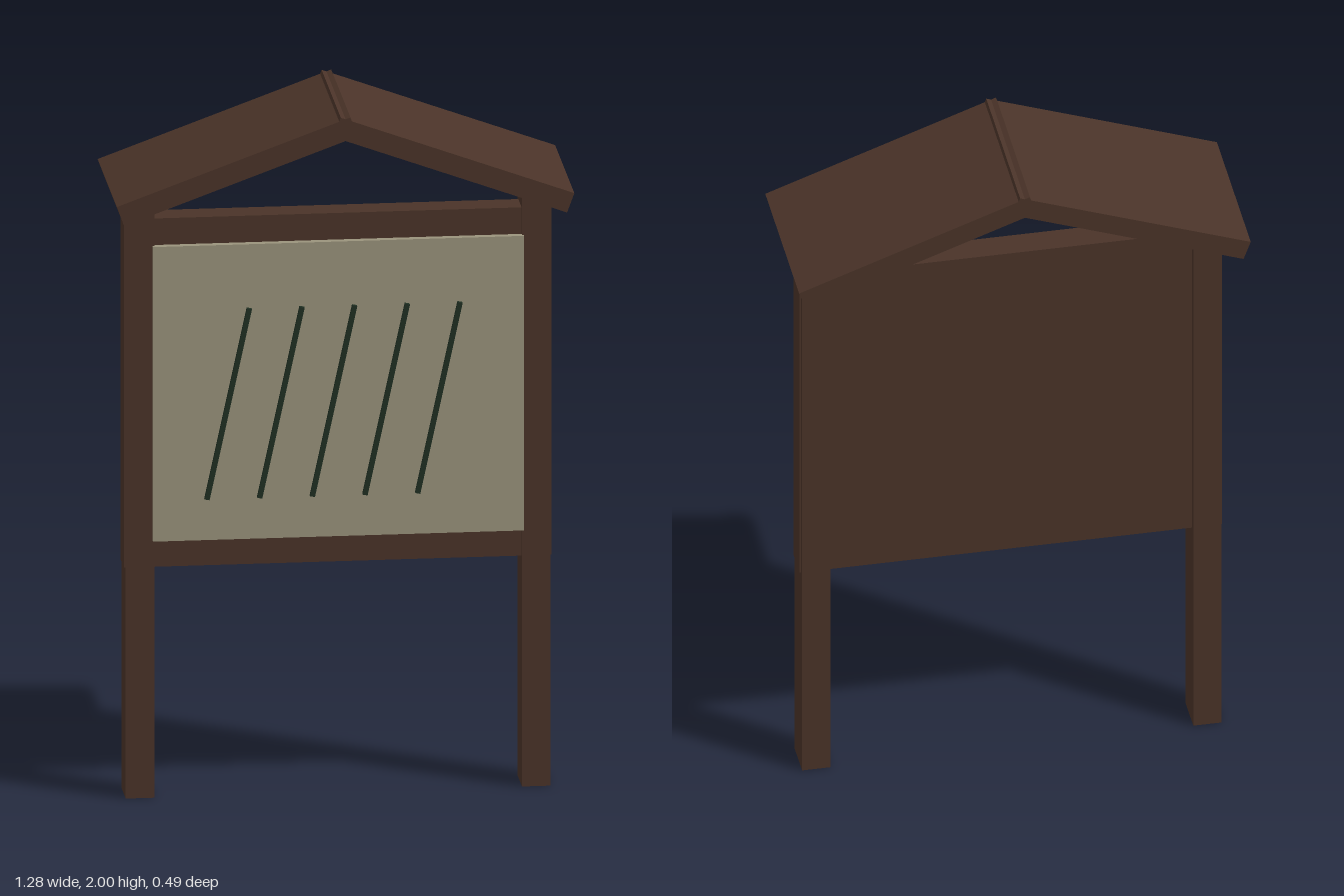
import * as THREE from 'three';

export function createModel() {
  const model = new THREE.Group();
  model.name = 'noticeBoard';

  const wood = new THREE.MeshStandardMaterial({ color: 0x4a3328 });
  wood.name = 'dark brown wood';
  const paper = new THREE.MeshStandardMaterial({ color: 0x9a947c });
  paper.name = 'grey beige panel';
  const ink = new THREE.MeshStandardMaterial({ color: 0x1f2f22 });
  ink.name = 'dark green stripe';

  function box(name, w, h, d, x, y, z, material) {
    const mesh = new THREE.Mesh(new THREE.BoxGeometry(w, h, d), material);
    mesh.name = name;
    mesh.position.set(x, y, z);
    model.add(mesh);
    return mesh;
  }

  // Backing board, slightly wider and thinner than the posts
  box('board', 1.194, 1.005, 0.084, 0, 1.166, 0.003, wood);

  // Display panel on the front
  box('panel', 1.036, 0.85, 0.03, 0, 1.167, 0.051, paper);

  // Slanted stripes across the panel
  for (let i = 0; i < 5; i++) {
    const stripe = box('stripe' + (i + 1), 0.014, 0.56, 0.014, -0.015 + (i - 2) * 0.147, 1.135, 0.071, ink);
    stripe.rotation.z = -0.213;
  }

  // Posts and roof slabs, mirrored; the slabs cross a little at the ridge
  const slope = 0.35, length = 0.694, thickness = 0.059, overlap = 0.0135;
  for (const side of [1, -1]) {
    const label = side > 0 ? 'left' : 'right';
    box(label + 'Post', 0.08, 1.75, 0.11, side * 0.553, 0.875, 0, wood);

    const along = length / 2, down = thickness / 2;
    const x = -overlap + along * Math.cos(slope) - down * Math.sin(slope);
    const y = 2 - along * Math.sin(slope) - down * Math.cos(slope);
    const slab = box(label + 'Roof', length, thickness, 0.486, side * x, y, 0, wood);
    slab.rotation.z = -side * slope;
  }

  return model;
}
